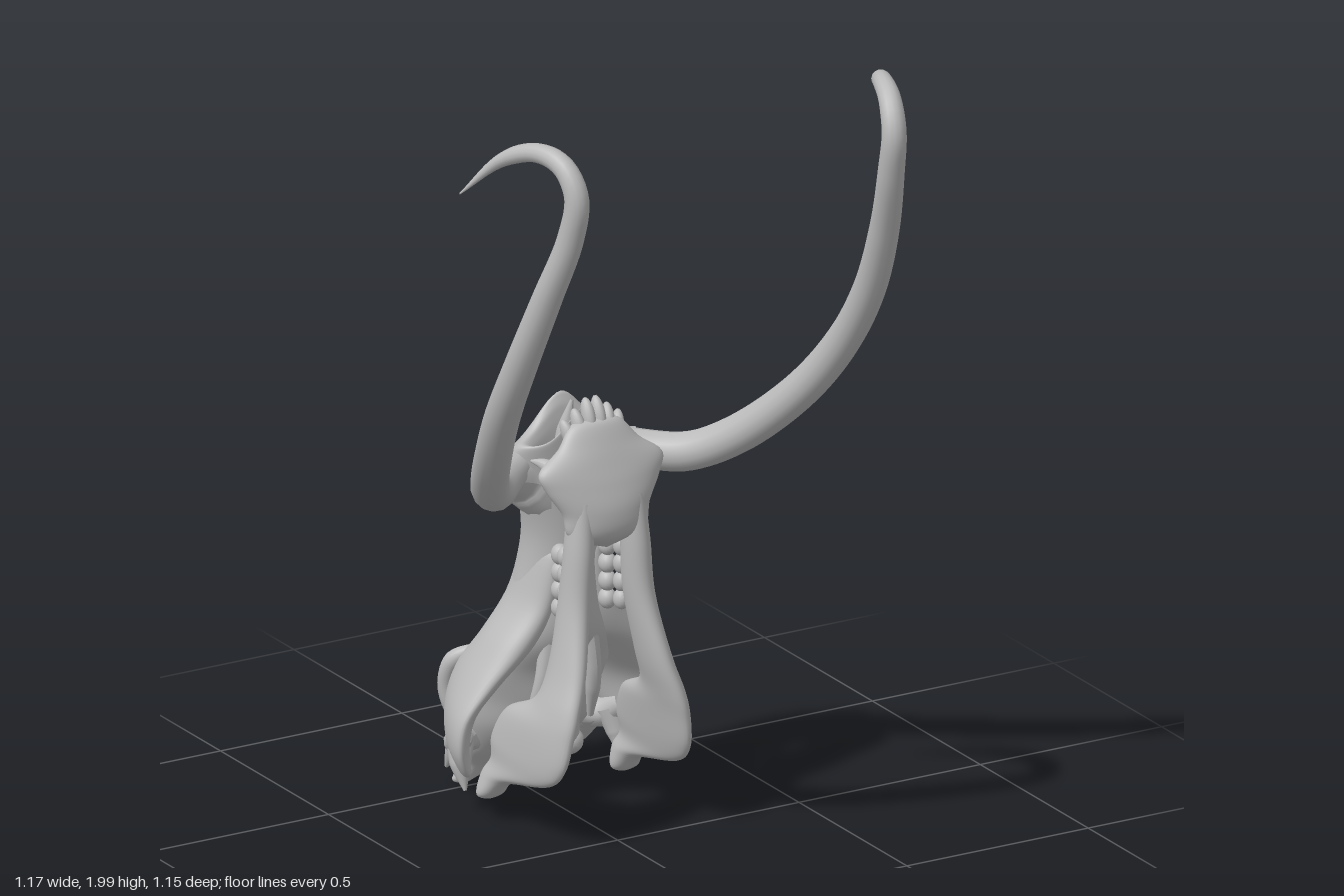
import * as THREE from 'three';

const bone = new THREE.MeshStandardMaterial({ color: 0xbababa });
bone.name = 'bone grey';

export function createModel() {
  const model = new THREE.Group();
  model.name = 'tuskedSkull';

  function add(name, geometry, parent = model) {
    const mesh = new THREE.Mesh(geometry, bone);
    mesh.name = name;
    parent.add(mesh);
    return mesh;
  }

  // Smooth skin over oval sections, listed upward: [y, x, z, halfWidth, halfDepth, taper, shear]
  function loft(rows, s = 1, rule = null, steps = 6, sides = 40) {
    const pos = [], index = [];
    const row = i => rows[Math.max(0, Math.min(rows.length - 1, i))];
    const n = (rows.length - 1) * steps;
    for (let i = 0; i <= n; i++) {
      const k = Math.min(Math.floor(i / steps), rows.length - 2), t = i / steps - k;
      const [y, x, z, rx, rz, taper, shear] = [0, 1, 2, 3, 4, 5, 6].map(c => {
        const [a, b, d, e] = [-1, 0, 1, 2].map(o => row(k + o)[c] || 0);
        return b + 0.5 * t * (d - a + t * (2 * a - 5 * b + 4 * d - e + t * (3 * (b - d) + e - a)));
      });
      for (let j = 0; j < sides; j++) {
        const q = j / sides * Math.PI * 2;
        const dz = Math.max(rz, 0) * Math.sin(q);
        const dx = Math.max(rx, 0) * Math.cos(q) * (1 + taper * Math.sin(q));
        const p = new THREE.Vector3(s * (x + shear * dz) + dx, y, z + dz);
        if (rule) rule(p);
        pos.push(p.x, p.y, p.z);
        if (i < n) {
          const a = i * sides + j, b = i * sides + (j + 1) % sides;
          index.push(a, a + sides, b, b, a + sides, b + sides);
        }
      }
    }
    const g = new THREE.BufferGeometry();
    g.setAttribute('position', new THREE.Float32BufferAttribute(pos, 3));
    g.setIndex(index);
    g.computeVertexNormals();
    return g;
  }

  // Tube whose radius follows a list of values along its path
  function taperTube(points, radii, s = 1, steps = 24) {
    const curve = new THREE.CatmullRomCurve3(points.map(p => new THREE.Vector3(s * p[0], p[1], p[2])));
    const sides = 14, g = new THREE.TubeGeometry(curve, steps, 1, sides);
    const pos = g.attributes.position, v = new THREE.Vector3();
    for (let i = 0; i <= steps; i++) {
      const t = i / steps * (radii.length - 1), k = Math.min(Math.floor(t), radii.length - 2);
      const r = THREE.MathUtils.lerp(radii[k], radii[k + 1], t - k);
      const c = curve.getPointAt(i / steps);
      for (let j = 0; j <= sides; j++) {
        const id = i * (sides + 1) + j;
        v.fromBufferAttribute(pos, id).sub(c).multiplyScalar(r).add(c);
        pos.setXYZ(id, v.x, v.y, v.z);
      }
    }
    g.computeVertexNormals();
    return g;
  }

  function blob(name, x, y, z, rx, ry, rz, parent) {
    const m = add(name, new THREE.SphereGeometry(1, 16, 12), parent);
    m.position.set(x, y, z);
    m.scale.set(rx, ry, rz);
    return m;
  }

  // Cranium and muzzle, with a hollow nasal opening, eye sockets and arched nape crest
  const craniumRule = p => {
    const rim = THREE.MathUtils.smoothstep(p.y, 0.88, 0.97);
    const reach = Math.min(1, ((p.z + 0.205) / 0.06) ** 2);
    p.y += rim * 0.1 * reach * Math.exp(-((p.x / 0.08) ** 2));
    const d = ((p.y - 0.265) / 0.06) ** 2 + ((p.z + 0.49) / 0.045) ** 2;
    if (Math.abs(p.x) > 0.06) p.x -= Math.sign(p.x) * 0.08 * Math.exp(-d * d);
    p.y += 0.035 * (1 - THREE.MathUtils.smoothstep(p.y, 0, 0.08)) * Math.max(0, 1 - (p.x / 0.11) ** 2);
  };
  add('cranium', loft([
    [0.03, 0, -0.5, 0, 0], [0.005, 0, -0.535, 0.13, 0.035], [0.06, 0, -0.51, 0.122, 0.056],
    [0.12, 0, -0.46, 0.14, 0.09], [0.2, 0, -0.42, 0.168, 0.132, -0.1],
    [0.28, 0, -0.405, 0.182, 0.148, -0.1], [0.36, 0, -0.365, 0.18, 0.125, 0.05],
    [0.45, 0, -0.313, 0.155, 0.117, 0.05], [0.55, 0, -0.285, 0.118, 0.105],
    [0.7, 0, -0.26, 0.1, 0.09], [0.82, 0, -0.25, 0.122, 0.088, 0.05],
    [0.9, 0, -0.245, 0.158, 0.088], [0.96, 0, -0.205, 0.145, 0.06, -0.1],
    [0.95, 0, -0.205, 0.11, 0.044], [0.88, 0, -0.21, 0.065, 0.03], [0.87, 0, -0.21, 0, 0],
  ], 1, craniumRule, 10, 96));
  add('nasalSeptum', taperTube([[0, 0.86, -0.235], [0, 0.93, -0.24], [0, 1.0, -0.245]], [0.012, 0.01, 0.004]));

  // Skull base behind the palate
  add('skullBase', loft([
    [0.1, 0, -0.36, 0, 0], [0.13, 0, -0.34, 0.08, 0.06], [0.2, 0, -0.31, 0.07, 0.06],
    [0.28, 0, -0.28, 0.05, 0.06], [0.36, 0, -0.25, 0.035, 0.05], [0.44, 0, -0.24, 0, 0],
  ]));

  // Lower jaw tip
  add('jawTip', loft([
    [0.73, 0, -0.05, 0, 0], [0.77, 0, -0.05, 0.1, 0.038], [0.83, 0, -0.055, 0.118, 0.048],
    [0.89, 0, -0.07, 0.155, 0.048], [0.935, 0, -0.08, 0.168, 0.042],
    [0.98, 0, -0.09, 0.11, 0.034], [1.03, 0, -0.105, 0.065, 0.024], [1.04, 0, -0.105, 0, 0],
  ], 1, null, 6, 48));

  for (const s of [1, -1]) {
    const side = new THREE.Group();
    side.name = s > 0 ? 'leftSide' : 'rightSide';
    model.add(side);

    // Long tusk sweeping out, up and over, with its socket
    add('tusk', taperTube([
      [0.12, 0.91, -0.25], [0.19, 0.895, -0.2], [0.265, 0.9, -0.12], [0.34, 0.96, -0.02],
      [0.42, 1.1, 0.13], [0.465, 1.25, 0.25], [0.478, 1.42, 0.36], [0.465, 1.61, 0.455],
      [0.442, 1.78, 0.525], [0.438, 1.89, 0.545], [0.45, 1.955, 0.505], [0.475, 1.972, 0.43],
      [0.52, 1.935, 0.34], [0.584, 1.832, 0.25],
    ], [0.046, 0.048, 0.047, 0.045, 0.043, 0.04, 0.037, 0.033, 0.029, 0.021, 0.002], s, 110), side);
    add('tuskSocket', taperTube([[0.05, 0.82, -0.25], [0.11, 0.87, -0.25], [0.195, 0.9, -0.215]],
      [0.075, 0.075, 0.068, 0.058, 0.046], s), side);
    add('nosePoint', taperTube([[0.05, 0.92, -0.175], [0.042, 1.0, -0.172], [0.032, 1.075, -0.158]],
      [0.025, 0.02, 0.004], s), side);

    // Flaring cheekbone and the arch that returns to the nape
    add('cheekbone', loft([
      [0.12, 0.25, -0.28, 0, 0], [0.14, 0.25, -0.29, 0.016, 0.042, 0, 0.35],
      [0.2, 0.245, -0.33, 0.03, 0.1, 0, 0.45], [0.28, 0.225, -0.345, 0.042, 0.122, 0, 0.45],
      [0.36, 0.185, -0.328, 0.055, 0.118, 0, 0.3], [0.45, 0.13, -0.29, 0.062, 0.098, 0, 0.12],
      [0.55, 0.08, -0.27, 0.045, 0.085], [0.68, 0.05, -0.255, 0.035, 0.07], [0.7, 0.05, -0.25, 0, 0],
    ], s), side);
    add('cheekArch', taperTube([[0.225, 0.2, -0.35], [0.2, 0.165, -0.4], [0.165, 0.16, -0.435], [0.1, 0.16, -0.45]],
      [0.03, 0.036, 0.04, 0.04], s), side);
    add('archSpike', taperTube([[0.205, 0.18, -0.385], [0.216, 0.12, -0.365], [0.215, 0.06, -0.345]],
      [0.035, 0.026, 0.004], s), side);
    add('napeSpike', taperTube([[0.165, 0.17, -0.42], [0.182, 0.12, -0.45], [0.19, 0.075, -0.475]],
      [0.04, 0.026, 0.004], s), side);

    // Brow edge curving behind the eye socket
    add('browEdge', taperTube([[0.1, 0.36, -0.475], [0.145, 0.325, -0.515], [0.152, 0.255, -0.54], [0.135, 0.185, -0.53], [0.1, 0.14, -0.51]],
      [0.012, 0.022, 0.021, 0.02, 0.012], s), side);

    // Lower jaw branch, broad at the angle and ending in the hinge
    add('jawBranch', loft([
      [0.055, 0.185, -0.28, 0, 0], [0.07, 0.185, -0.28, 0.035, 0.026], [0.12, 0.18, -0.25, 0.032, 0.06],
      [0.165, 0.178, -0.15, 0.03, 0.13], [0.22, 0.172, -0.122, 0.036, 0.162],
      [0.3, 0.16, -0.09, 0.04, 0.144], [0.36, 0.145, -0.036, 0.036, 0.088],
      [0.45, 0.118, -0.035, 0.034, 0.068], [0.6, 0.09, -0.052, 0.034, 0.05],
      [0.74, 0.078, -0.05, 0.034, 0.042], [0.86, 0.07, -0.055, 0.03, 0.035],
    ], s), side);

    // Plate beside the palate, and the neck joint
    add('palatePlate', taperTube([[0.055, 0.46, -0.23], [0.07, 0.35, -0.23], [0.085, 0.22, -0.27]],
      [0.025, 0.02, 0.018, 0.008], s), side);
    blob('neckJoint', s * 0.045, 0.15, -0.31, 0.04, 0.035, 0.04, side);

    // Cheek teeth, upper and lower
    for (let i = 0; i < 4; i++) {
      const y = 0.555 + i * 0.045;
      blob('upperTooth', s * 0.065, y, -0.157, 0.022, 0.026, 0.024, side);
      blob('lowerTooth', s * 0.077, y + 0.01, -0.112, 0.02, 0.026, 0.022, side);
    }

    // Front teeth and the small lower tusk
    for (let i = 0; i < 3; i++) {
      const tooth = blob('frontTooth', s * (0.014 + i * 0.026), 1.045 - i * 0.022, -0.112, 0.016, 0.045, 0.02, side);
      tooth.rotation.set(-0.4, 0, -s * i * 0.12);
    }
    add('lowerTusk', taperTube([[0.1, 0.91, -0.09], [0.13, 0.94, -0.12], [0.15, 0.945, -0.15]],
      [0.022, 0.018, 0.003], s), side);
  }
  return model;
}
